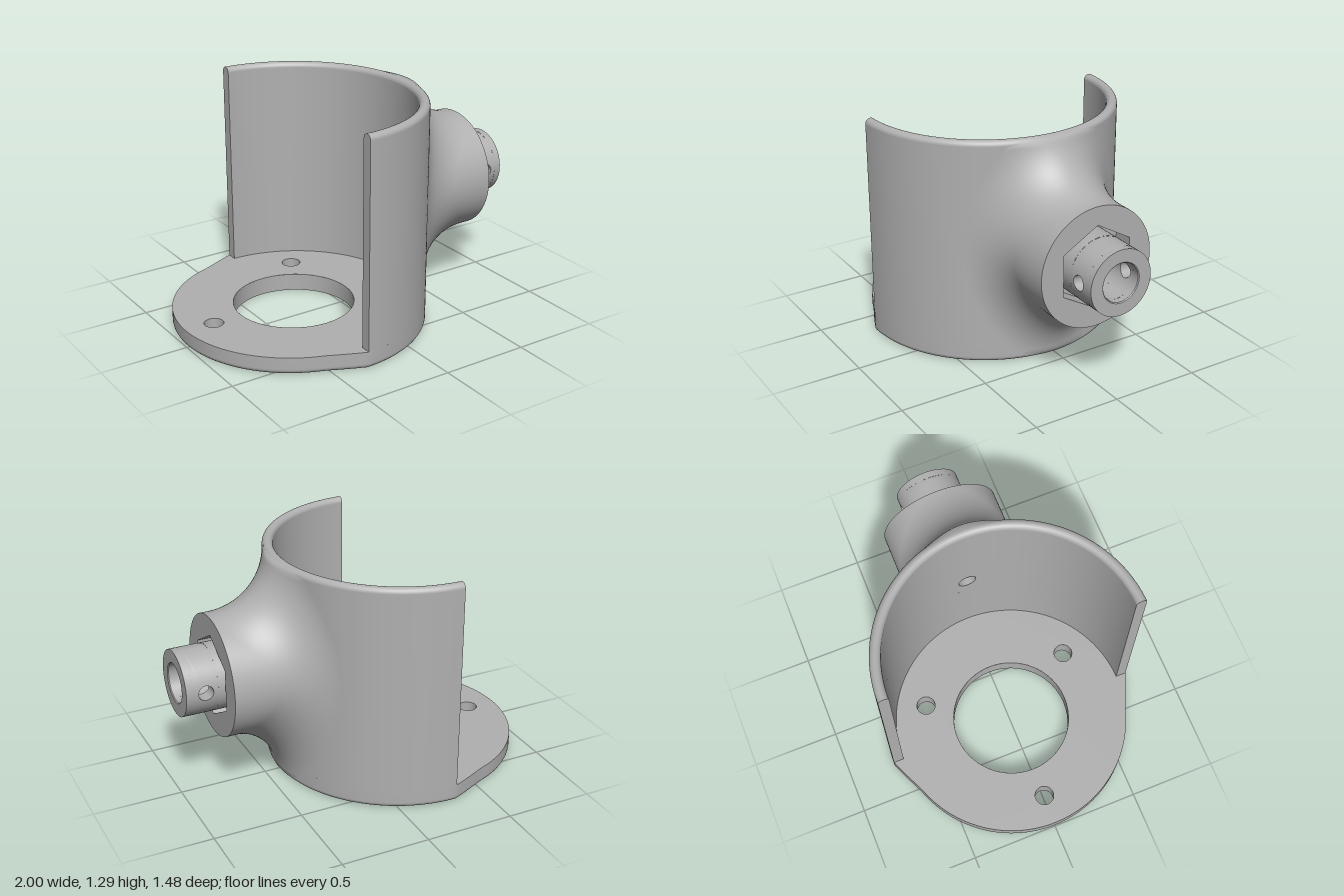
import * as THREE from 'three';

const AX = -0.32, R = 0.74, RI = 0.68, H = 1.29, BASE = 0.1, EDGE = 0.03;
const BY = 0.68, BR = 0.34, BX = 0.79, FIL = 0.37; // side boss and its fillet
const TAU = Math.PI * 2;
const V = (x, y, z) => new THREE.Vector3(x, y, z);

// Skin over rows of points; each row is a closed loop
function loft(rows) {
  const n = rows[0].length, index = [];
  for (let j = 0; j < rows.length - 1; j++) {
    for (let i = 0; i < n; i++) {
      const k = (i + 1) % n, a = j * n, b = a + n;
      index.push(a + i, b + i, a + k, a + k, b + i, b + k);
    }
  }
  const g = new THREE.BufferGeometry().setFromPoints(rows.flat());
  g.setIndex(index);
  g.computeVertexNormals();
  return g;
}

const loop = (n, f) => Array.from({ length: n }, (_, i) => f((i / n) * TAU));

// Cylinder patch around +z with a round hole through it
function drilledPatch(r, halfAngle, halfHeight, hole, y, inward) {
  const rows = [];
  for (let j = 0; j <= 16; j++) {
    const t = j / 16;
    rows.push(loop(64, (a) => {
      const c = Math.cos(a), s = Math.sin(a), m = Math.max(Math.abs(c), Math.abs(s));
      const u = (1 - t) * Math.asin((hole * c) / r) + (t * halfAngle * c) / m;
      const v = (1 - t) * hole * s + (t * halfHeight * s) / m;
      return V(r * Math.sin(u), y + v, r * Math.cos(u));
    }));
  }
  return loft(inward ? rows.reverse() : rows);
}

function circleHole(x, y, r) {
  return new THREE.Path().absarc(x, y, r, 0, TAU, true);
}

// Radius of the base outline: a disc with flares that meet the wall ends
function baseRadius(a) {
  if (Math.cos(a) > -1e-6) return R;
  const d = Math.abs(Math.abs(a > Math.PI ? a - TAU : a) - Math.PI / 2);
  return RI + (R - RI) * Math.max(0, 1 - d / 0.34) ** 1.6;
}

// Rolling-ball fillet between the wall and the boss, trimmed at both rims
function filletGeometry() {
  const N = 160, M = 24, columns = [];
  for (let i = 0; i < N; i++) {
    const t = (i / N) * TAU, c = Math.cos(t), s = Math.sin(t);
    const cz = (BR + FIL) * s, cx = Math.sqrt((R + FIL) ** 2 - cz * cz);
    const center = V(AX + cx, BY + (BR + FIL) * c, cz);
    const d0 = V(0, -c, -s), d1 = V(-cx, 0, -cz).normalize();
    const w = Math.acos(d0.dot(d1));
    const at = (k) => center.clone()
      .addScaledVector(d0, (FIL * Math.sin((1 - k) * w)) / Math.sin(w))
      .addScaledVector(d1, (FIL * Math.sin(k * w)) / Math.sin(w));
    const inside = (k) => Math.abs(at(k).y - H / 2) < H / 2 - EDGE;
    let end = 1;
    while (end > 0 && !inside(end)) end -= 0.002;
    const col = [V(BX, BY + BR * c, BR * s)];
    for (let j = 0; j <= M; j++) col.push(at((end * j) / M));
    const p = col[col.length - 1];
    if (end < 1) {
      const rho = Math.hypot(p.x - AX, p.z), top = p.y > H / 2;
      for (const [r, inset] of [[rho - 0.01, 0.008], [R - EDGE, 0]]) {
        col.push(V(AX + ((p.x - AX) * r) / rho, top ? H - inset : inset, (p.z * r) / rho));
      }
    } else col.push(p.clone(), p.clone());
    columns.push(col);
  }
  return loft(columns[0].map((_, j) => columns.map((col) => col[j])));
}

export function createModel() {
  const model = new THREE.Group();
  const gray = new THREE.MeshStandardMaterial({ color: 0xb0b0b0, side: THREE.DoubleSide });
  gray.name = 'gray';
  const add = (name, geometry, parent) => {
    const mesh = new THREE.Mesh(geometry, gray);
    mesh.name = name;
    parent.add(mesh);
    return mesh;
  };
  const group = (name) => {
    const g = new THREE.Group();
    g.name = name;
    model.add(g);
    return g;
  };

  // Base plate with a rounded lower edge, a large opening and three screw holes
  const base = group('basePlate');
  base.position.x = AX;
  const holes = [[0, 0, BR]];
  for (const a of [Math.PI / 3, Math.PI, -Math.PI / 3]) {
    holes.push([0.51 * Math.cos(a), 0.51 * Math.sin(a), 0.054]);
  }
  const plate = (inset) => {
    const shape = new THREE.Shape(loop(144, (a) => {
      const r = baseRadius(a) - inset;
      return new THREE.Vector2(r * Math.cos(a), r * Math.sin(a));
    }));
    shape.holes = holes.map((h) => circleHole(...h));
    return new THREE.ShapeGeometry(shape, 32);
  };
  add('baseTop', plate(0).rotateX(-Math.PI / 2).translate(0, BASE, 0), base);
  add('baseBottom', plate(EDGE).rotateX(Math.PI / 2), base);
  const rim = [];
  for (let j = 0; j <= 5; j++) {
    const a = (j / 5) * Math.PI / 2;
    rim.push([EDGE * (1 - Math.sin(a)), EDGE * (1 - Math.cos(a))]);
  }
  rim.push([0, BASE]);
  add('baseEdge', loft(rim.map(([inset, y]) => loop(144, (a) => {
    const r = baseRadius(a) - inset;
    return V(r * Math.cos(a), y, -r * Math.sin(a));
  })).reverse()), base);
  for (const [x, z, r] of holes) {
    const g = new THREE.CylinderGeometry(r, r, BASE, 48, 1, true).scale(-1, 1, 1);
    g.index.array.reverse();
    g.computeVertexNormals();
    g.index.array.reverse();
    add('baseHole', g.translate(x, BASE / 2, z), base);
  }

  // Half-round wall with a rounded rim, left open around the through hole
  const wall = group('wall');
  wall.position.x = AX;
  const arc = [];
  for (let j = 0; j <= 12; j++) {
    const a = (j / 12) * Math.PI;
    arc.push(new THREE.Vector2(R - EDGE + EDGE * Math.cos(a), H - EDGE + EDGE * Math.sin(a)));
  }
  const P = (r, y) => new THREE.Vector2(r, y);
  const profile = [P(R, BASE), ...arc, P(RI, BASE)];
  const gap = 0.1, side = Math.PI / 2 - gap;
  add('wallSide', new THREE.LatheGeometry(profile, 48, 0, side), wall);
  add('wallSide', new THREE.LatheGeometry(profile, 48, Math.PI / 2 + gap, side), wall);
  add('wallMiddleTop', new THREE.LatheGeometry([...arc, P(RI, BY + 0.12)], 6, side, 2 * gap), wall);
  add('wallMiddleBottom', new THREE.LatheGeometry([P(RI, BY - 0.12), P(RI, BASE)], 6, side, 2 * gap), wall);
  add('wallDrilledPatch', drilledPatch(RI, gap, 0.12, 0.052, BY, true).rotateY(Math.PI / 2), wall);
  for (const s of [1, -1]) {
    const cap = new THREE.Shape(profile.map((p) => P(s * p.x, p.y)));
    add('wallEnd', new THREE.ShapeGeometry(cap).rotateY(-Math.PI / 2), wall);
  }

  // Flared boss with a hexagonal pocket in its end face
  const boss = group('boss');
  add('bossFlare', filletGeometry(), boss);
  const HEX = 0.236;
  const face = new THREE.Shape().absarc(0, 0, BR, 0, TAU);
  face.holes.push(new THREE.Path(Array.from({ length: 6 }, (_, i) => {
    const a = Math.PI / 2 - (i * Math.PI) / 3;
    return P(HEX * Math.cos(a), HEX * Math.sin(a));
  })));
  add('bossFace', new THREE.ShapeGeometry(face, 80).rotateY(Math.PI / 2).translate(BX, BY, 0), boss);

  // Hub; its local y runs along x
  const hub = group('hub');
  hub.rotation.z = -Math.PI / 2;
  hub.position.y = BY;
  const floor = 0.67, HR = 0.185, BORE = 0.108, PIN = 0.052, hy = 0.89, band = 0.07;
  const pocket = new THREE.CylinderGeometry(HEX, HEX, BX - floor, 6, 1, true, Math.PI / 2).toNonIndexed();
  pocket.scale(1, -1, 1);
  pocket.computeVertexNormals();
  add('pocketWalls', pocket.translate(0, (BX + floor) / 2, 0), hub);
  const ring = (name, ...pts) => add(name, new THREE.LatheGeometry(pts.map((p) => P(...p)), 64), hub);
  ring('pocketFloor', [HEX, floor], [HR, floor]);
  ring('hubOuter', [HR, floor], [HR, hy - band]);
  ring('hubOuter', [HR, hy + band], [HR, 1]);
  ring('hubFace', [HR, 1], [BORE + 0.005, 1]);
  ring('boreChamfer', [BORE + 0.005, 1], [BORE, 0.995]);
  ring('bore', [BORE, 0.995], [BORE, hy + band]);
  ring('bore', [BORE, hy - band], [BORE, 0.72]);
  ring('boreFloor', [BORE, 0.72], [PIN, 0.72]);
  ring('throughHole', [PIN, 0.72], [PIN, AX + RI - 0.002]);

  // Two opposite cross holes through the hub
  const CROSS = 0.042;
  for (const turn of [0, Math.PI]) {
    add('hubDrilledSide', drilledPatch(HR, Math.PI / 2, band, CROSS, hy, false).rotateY(turn), hub);
    add('boreDrilledSide', drilledPatch(BORE, Math.PI / 2, band, CROSS, hy, true).rotateY(turn), hub);
    const rows = [BORE, HR].map((r) => loop(48, (a) => {
      const x = CROSS * Math.cos(a);
      return V(x, hy + CROSS * Math.sin(a), Math.sqrt(r * r - x * x));
    }));
    add('crossHole', loft(rows).rotateY(turn), hub);
  }
  return model;
}
